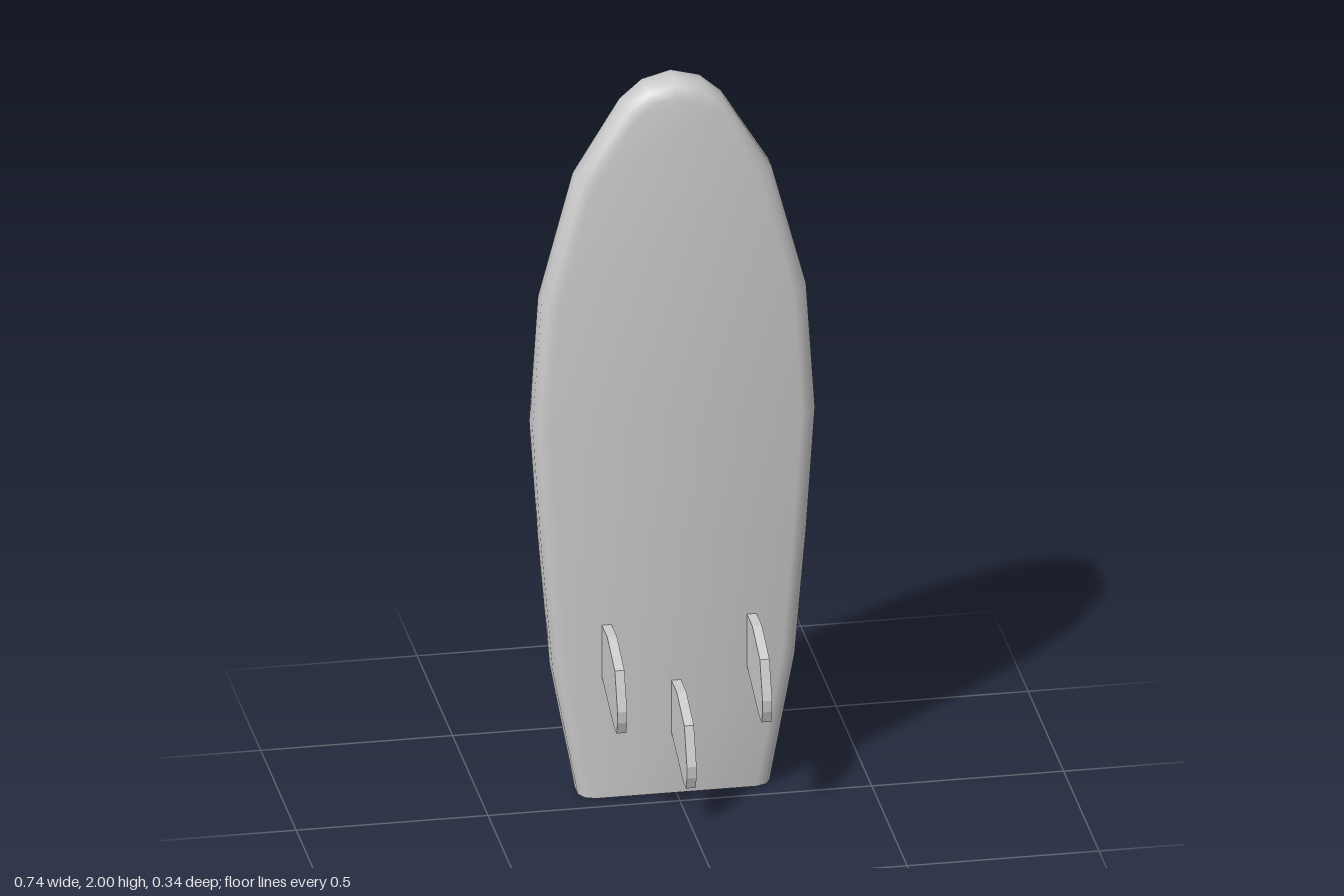
import * as THREE from 'three';
import { toCreasedNormals } from 'three/addons/utils/BufferGeometryUtils.js';

const material = new THREE.MeshStandardMaterial({ color: 0xcccccc });

// Right half of the board outline, from tail corner to nose tip
const HALF = [
  [0.25, 0], [0.315, 0.35], [0.345, 0.7], [0.368, 1.04], [0.345, 1.39],
  [0.255, 1.73], [0.133, 1.93], [0.075, 1.98], [0, 2],
];
// Rail profile from front to back: [z, inset from outline]
const RAIL = [
  [-0.052, 0.04], [-0.063, 0.013], [-0.087, 0],
  [-0.135, 0], [-0.157, 0.013], [-0.168, 0.04],
];

// Outline moved inward by d; the tail corners stay on the flat tail cut
function insetOutline(d) {
  const right = HALF.map(([x, y], i) => {
    if (i === 0) return [x - d, 0];
    if (i === HALF.length - 1) return [0, y - d];
    const a = HALF[i - 1], b = HALF[i + 1];
    const tx = b[0] - a[0], ty = b[1] - a[1], len = Math.hypot(tx, ty);
    return [x - (ty / len) * d, y + (tx / len) * d];
  });
  const left = right.slice(0, -1).reverse().map(([x, y]) => [-x, y]);
  return [...right, ...left];
}

function boardGeometry() {
  const n = HALF.length * 2 - 1, last = RAIL.length - 1;
  const positions = [], index = [];
  for (const [z, d] of RAIL) for (const [x, y] of insetOutline(d)) positions.push(x, y, z);
  const v = (layer, i) => layer * n + i;
  const quad = (a, b, c, d) => index.push(a, b, c, a, c, d);

  // Rounded rails and flat tail
  for (let l = 0; l < last; l++) {
    for (let i = 0; i < n - 1; i++) quad(v(l, i), v(l + 1, i), v(l + 1, i + 1), v(l, i + 1));
    quad(v(l, 0), v(l, n - 1), v(l + 1, n - 1), v(l + 1, 0));
  }
  // Front and back faces, in strips across the board
  for (let i = 0; i < HALF.length - 1; i++) {
    const j = n - 1 - i;
    index.push(v(0, i), v(0, i + 1), v(0, j), v(last, i), v(last, j), v(last, i + 1));
    if (i + 1 < j - 1) {
      index.push(v(0, i + 1), v(0, j - 1), v(0, j), v(last, i + 1), v(last, j), v(last, j - 1));
    }
  }
  const geometry = new THREE.BufferGeometry();
  geometry.setAttribute('position', new THREE.Float32BufferAttribute(positions, 3));
  geometry.setIndex(index);
  return toCreasedNormals(geometry, 0.9);
}

// Swept fin: side profile as (z, y), extruded to a thin plate
function finGeometry() {
  const profile = [
    [-0.06, 0.344], [0.12, 0.275], [0.155, 0.275], [0.167, 0.308],
    [0.168, 0.34], [0.13, 0.44], [0.024, 0.487], [-0.06, 0.487],
  ];
  const shape = new THREE.Shape(profile.map(([z, y]) => new THREE.Vector2(z, y)));
  const thickness = 0.025;
  return new THREE.ExtrudeGeometry(shape, { depth: thickness, bevelEnabled: false })
    .translate(0, 0, -thickness / 2)
    .rotateY(-Math.PI / 2);
}

export function createModel() {
  const model = new THREE.Group();
  model.name = 'surfboard';

  const board = new THREE.Mesh(boardGeometry(), material);
  board.name = 'board';
  model.add(board);

  // Two side fins and a lower centre fin
  const fin = finGeometry();
  for (const [name, x, y] of [['rightFin', -0.181, 0], ['centreFin', 0, -0.17], ['leftFin', 0.197, 0]]) {
    const mesh = new THREE.Mesh(fin, material);
    mesh.name = name;
    mesh.position.set(x, y, 0);
    model.add(mesh);
  }
  return model;
}
